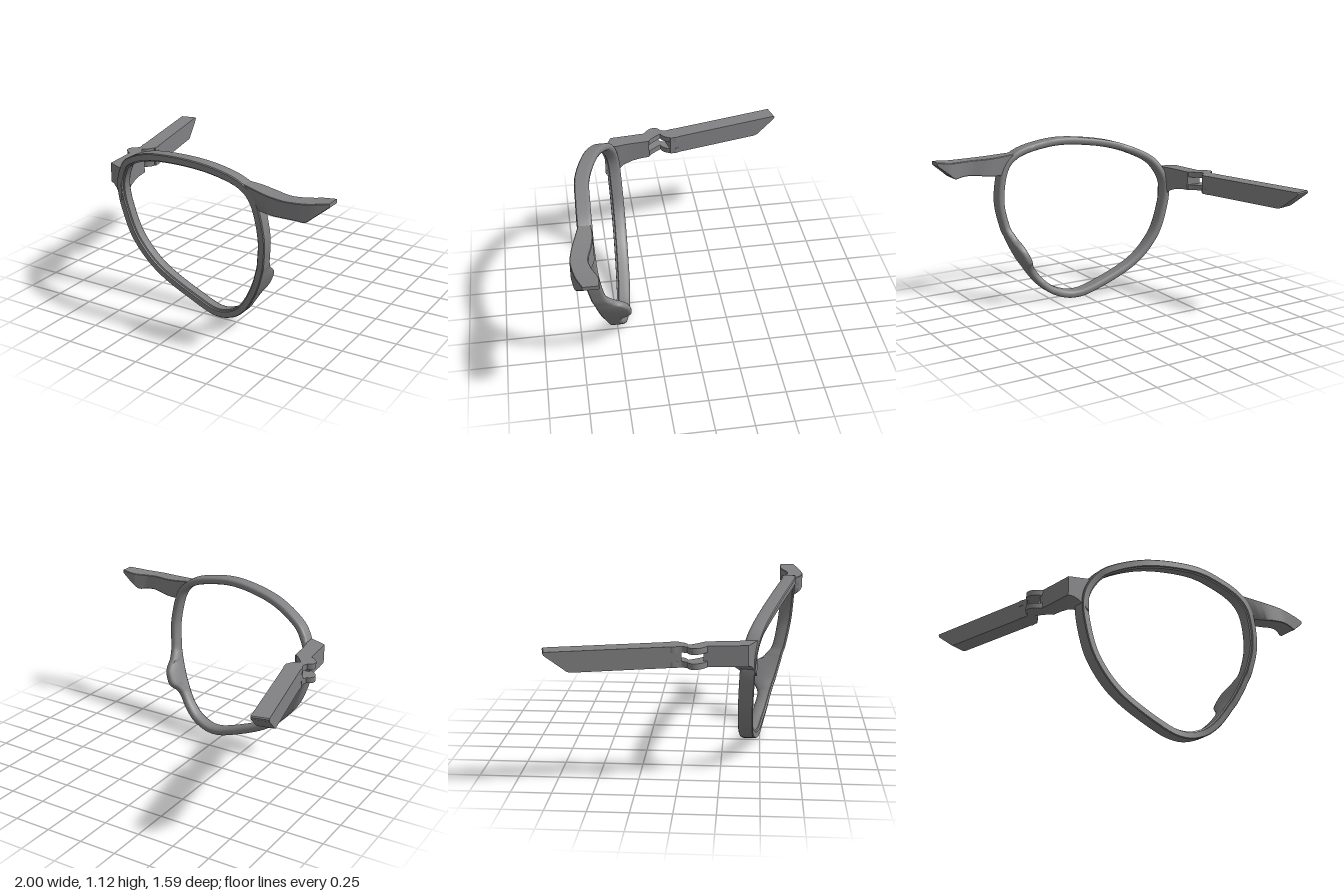
import * as THREE from 'three';
import { toCreasedNormals } from 'three/addons/utils/BufferGeometryUtils.js';

const V2 = (p) => new THREE.Vector2(p[0], p[1]);
const TOP = 0.883, BOTTOM = 0.753;

function addMesh(parent, name, geometry, crease = 0.6) {
  const material = new THREE.MeshStandardMaterial({ color: 0x828284 });
  const mesh = new THREE.Mesh(toCreasedNormals(geometry, crease), material);
  mesh.name = name;
  parent.add(mesh);
  return mesh;
}

// Skin a list of rings (each an array of [x, y, z]); closed loops have no caps
function loft(rings, closed) {
  const n = rings.length, m = rings[0].length, index = [];
  for (let i = 0; i < (closed ? n : n - 1); i++) {
    for (let j = 0; j < m; j++) {
      const k = (j + 1) % m, r = ((i + 1) % n) * m;
      const a = i * m + j, b = r + j, c = r + k, d = i * m + k;
      index.push(a, d, b, b, d, c);
    }
  }
  if (!closed) {
    const e = (n - 1) * m;
    for (let j = 1; j < m - 1; j++) index.push(0, j + 1, j, e, e + j, e + j + 1);
  }
  const g = new THREE.BufferGeometry();
  g.setAttribute('position', new THREE.Float32BufferAttribute(rings.flat(2), 3));
  g.setIndex(index);
  g.computeVertexNormals();
  return g;
}

// Extrude a plan outline given as [x, z] upward from y0 to y1
function planExtrude(points, y0, y1) {
  const shape = new THREE.Shape(points.map(([x, z]) => new THREE.Vector2(x, -z)));
  const g = new THREE.ExtrudeGeometry(shape, { depth: y1 - y0, bevelEnabled: false });
  return g.rotateX(-Math.PI / 2).translate(0, y0, 0);
}

const curveOf = (pts, closed) => new THREE.CatmullRomCurve3(pts, closed, 'catmullrom', 0.5);

// Smooth closed outline through a few [x, z] points
function rounded(points) {
  const curve = curveOf(points.map(([x, z]) => new THREE.Vector3(x, 0, z)), true);
  return curve.getPoints(40).slice(0, 40).map((p) => [p.x, p.z]);
}

function buildRim() {
  // outer x, y, front z and, where the nose pad makes it deeper, the depth
  const stations = [
    [0.01, 1.124, 0.708], [0.25, 1.105, 0.723], [0.43, 1.047, 0.727], [0.525, 0.935, 0.727],
    [0.567, 0.72, 0.712], [0.545, 0.535, 0.678], [0.522, 0.46, 0.655, 0.125],
    [0.508, 0.42, 0.645, 0.175], [0.49, 0.375, 0.632, 0.2], [0.455, 0.3, 0.61, 0.19],
    [0.425, 0.25, 0.592, 0.125], [0.395, 0.2, 0.576], [0.335, 0.12, 0.553], [0.24, 0.045, 0.525],
    [0.1, 0.005, 0.5], [-0.07, 0.04, 0.475], [-0.39, 0.183, 0.455], [-0.582, 0.37, 0.45],
    [-0.67, 0.58, 0.455], [-0.695, 0.75, 0.465], [-0.65, 0.885, 0.49], [-0.55, 0.988, 0.54],
    [-0.31, 1.083, 0.63],
  ];
  const width = 0.053;
  const outer = curveOf(stations.map(([x, y]) => new THREE.Vector3(x, y, 0)), true);
  const zed = curveOf(stations.map(([, , z, depth = 0.094]) => new THREE.Vector3(z, depth, 0)), true);
  // section: [across from outer to inner, depth from front, depth from back]
  const section = [
    [0, 0.006], [0.1, 0], [0.8, 0], [0.83, 0.012], [1, 0.016], [1, 0.045],
    [0.95, null, 0.02], [0.82, null, 0.006], [0.62, null, 0], [0.3, null, 0],
    [0.12, null, 0.004], [0.03, null, 0.012], [0, null, 0.022],
  ];
  const rings = [];
  const count = 207;
  for (let i = 0; i < count; i++) {
    const t = i / count;
    const o = outer.getPoint(t), dir = outer.getTangent(t), z = zed.getPoint(t);
    rings.push(section.map(([u, front, back]) => [
      o.x + dir.y * width * u,
      o.y - dir.x * width * u,
      front === null ? z.x - z.y + back : z.x - front,
    ]));
  }
  return loft(rings, true);
}

function buildBridge() {
  // x, top y, bottom y, front z, back z
  const stations = [
    [0.43, 1.044, 0.9, 0.722, 0.64], [0.53, 1.034, 0.903, 0.75, 0.64],
    [0.62, 1.025, 0.908, 0.775, 0.655], [0.725, 1.02, 0.915, 0.792, 0.682],
    [0.8, 1.02, 0.914, 0.788, 0.673], [0.865, 1.022, 0.91, 0.777, 0.65],
    [0.915, 1.027, 0.945, 0.765, 0.635], [0.998, 1.037, 1.012, 0.737, 0.64],
  ];
  const ys = curveOf(stations.map((s) => new THREE.Vector3(s[0], s[1], s[2])), false);
  const zs = curveOf(stations.map((s) => new THREE.Vector3(s[0], s[3], s[4])), false);
  const rings = [];
  const c = 0.004;
  for (let i = 0; i <= 48; i++) {
    const t = i / 48;
    const { x, y: top, z: low } = ys.getPoint(t);
    const { y: front, z: back } = zs.getPoint(t);
    // the lower edge starts further out, following the rim
    const xl = x + 0.1 * (1 - t) ** 3;
    rings.push([
      [x, top, front - c], [x, top - c, front], [xl, low + c, front], [xl, low, front - c],
      [xl, low, back + c], [xl, low + c, back], [x, top - c, back], [x, top, back + c],
    ]);
  }
  return loft(rings, false);
}

// End piece from the hinge to the rim, its inner lower edge sweeping down into the rim
function buildEndPiece() {
  // z, outer x, inner x, drop of the lower edge, forward slant across the width
  const stations = [
    [0.152, -0.801, -0.693, 0, 0], [0.22, -0.795, -0.687, 0.004, 0], [0.28, -0.788, -0.681, 0.014, 0],
    [0.33, -0.784, -0.672, 0.036, 0.08], [0.365, -0.78, -0.66, 0.075, 0.2], [0.417, -0.775, -0.655, 0.095, 0.45],
  ];
  const rings = stations.map(([z, xl, xr, drop, slant]) => {
    const w = xr - xl;
    const lower = [0, 0.25, 0.5, 0.75, 1].map((u) => [xl + w * u, BOTTOM - drop * u * u, z + slant * w * u]);
    return [[xl, TOP, z], ...lower, [xr, TOP, z + slant * w]];
  });
  return loft(rings, false);
}

// Side arm with a slanted lower tip, running backward from its own origin
function buildTemple() {
  const shape = new THREE.Shape([
    [-0.01, BOTTOM], [0.65, BOTTOM], [0.67, 0.76], [0.8, 0.862], [0.806, 0.876], [0.8, TOP], [-0.01, TOP],
  ].map(V2));
  const g = new THREE.ExtrudeGeometry(shape, { depth: 0.11, bevelEnabled: false });
  return g.rotateY(Math.PI / 2).translate(-0.055, 0, 0);
}

export function createModel() {
  const model = new THREE.Group();
  model.name = 'glassesFrameHalf';

  addMesh(model, 'rimWithNosePad', buildRim(), 0.7);
  addMesh(model, 'bridge', buildBridge());
  addMesh(model, 'endPiece', buildEndPiece());

  // Hinge plates above and below an open slot
  const knuckle = rounded([
    [-0.8, 0.175], [-0.85, 0.135], [-0.863, 0.09], [-0.835, 0.06], [-0.785, 0.058],
    [-0.758, 0.09], [-0.725, 0.13], [-0.695, 0.165], [-0.74, 0.19],
  ]);
  const templeKnuckle = rounded([
    [-0.832, -0.04], [-0.815, 0.02], [-0.825, 0.055], [-0.785, 0.064], [-0.74, 0.04],
    [-0.718, -0.005], [-0.72, -0.06], [-0.78, -0.09],
  ]);
  for (const [where, y0, y1] of [['lower', BOTTOM, 0.79], ['upper', 0.845, TOP]]) {
    addMesh(model, where + 'FrameHingePlate', planExtrude(knuckle, y0, y1));
    addMesh(model, where + 'TempleHingePlate', planExtrude(templeKnuckle, y0, y1));
  }

  const temple = addMesh(model, 'temple', buildTemple());
  temple.position.set(-0.765, 0, 0);
  temple.rotation.y = 0.228;
  return model;
}
